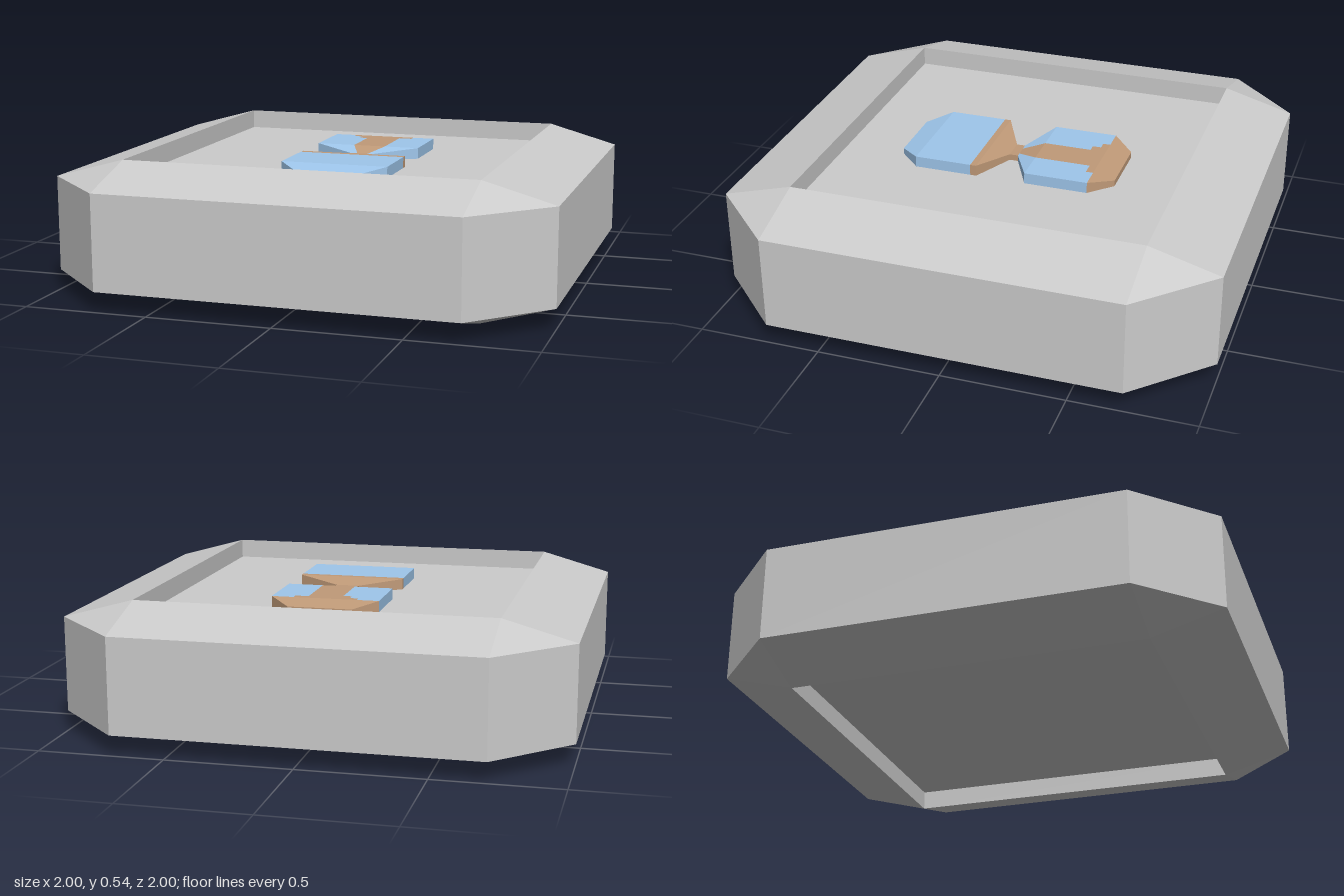
import * as THREE from 'three';

// Flat-shaded mesh from convex faces, corners counter-clockwise seen from outside
function faceMesh(name, faces, color) {
  const pos = [];
  for (const f of faces)
    for (let i = 1; i < f.length - 1; i++) pos.push(...f[0], ...f[i], ...f[i + 1]);
  const geo = new THREE.BufferGeometry();
  geo.setAttribute('position', new THREE.Float32BufferAttribute(pos, 3));
  geo.computeVertexNormals();
  const mesh = new THREE.Mesh(geo, new THREE.MeshStandardMaterial({ color, flatShading: true }));
  mesh.name = name;
  return mesh;
}

const TOP = 0.54, HIGH = 0.46, LOW = 0.08, A = 0.713;

// Chamfered slab with a square recess above and below
function createBody() {
  const faces = [];
  const turn = (f, n) => f.map(([x, y, z]) => {
    for (let i = 0; i < n; i++) [x, z] = [z, -x];
    return [x, y, z];
  });
  const flip = (f) => f.map(([x, y, z]) => [x, TOP - y, z]).reverse();
  const walls = [
    [[-A, LOW, 1], [A, LOW, 1], [A, HIGH, 1], [-A, HIGH, 1]],
    [[A, LOW, 1], [1, LOW, A], [1, HIGH, A], [A, HIGH, 1]],
  ];
  const rims = [
    [[-A, HIGH, 1], [A, HIGH, 1], [A, TOP, A], [-A, TOP, A]],   // slope
    [[A, HIGH, 1], [1, HIGH, A], [A, TOP, A]],                  // corner
    [[A, HIGH, A], [-A, HIGH, A], [-A, TOP, A], [A, TOP, A]],   // recess wall
  ];
  for (let n = 0; n < 4; n++) {
    for (const f of walls) faces.push(turn(f, n));
    for (const f of rims) faces.push(turn(f, n), flip(turn(f, n)));
  }
  const floor = [[-A, HIGH, A], [A, HIGH, A], [A, HIGH, -A], [-A, HIGH, -A]];
  faces.push(floor, flip(floor));
  return faceMesh('body', faces, 0xcccccc);
}

// Raised hourglass, built from rows of coloured strips running back to front
function createHourglass() {
  const L = -0.18, R = 0.26, MID = 0.505, END = 0.485;
  const S = 'sand', G = 'glass';
  // [z0, y0, x edges at z0, z1, y1, x edges at z1, strip colours]
  const rows = [
    [-0.445, END, [-0.09, 0.17], -0.355, MID, [L, R], [S]],
    [-0.355, MID, [L, -0.09, 0.17, R], -0.325, MID, [L, -0.09, 0.17, R], [G, S, G]],
    [-0.325, MID, [L, -0.055, 0.115, R], -0.29, MID, [L, -0.055, 0.115, R], [G, S, G]],
    [-0.29, MID, [L, -0.02, 0.115, R], -0.095, MID, [L, -0.02, 0.115, R], [G, S, G]],
    [-0.095, MID, [L, -0.02, 0.115, R], -0.01, END, [-0.01, 0.02, 0.065, 0.085], [G, S, G]],
    [-0.01, END, [-0.01, 0.085], 0.025, END, [-0.01, 0.085], [S]],
    [0.025, END, [-0.01, 0.085], 0.11, MID, [L, R], [S]],
    [0.11, MID, [L, R], 0.135, MID, [L, R], [S]],
    [0.135, MID, [L, R], 0.37, MID, [L, R], [G]],
    [0.37, MID, [L, R], 0.46, END, [-0.09, 0.17], [G]],
  ];
  const faces = { sand: [], glass: [] };
  rows.forEach(([z0, y0, a, z1, y1, b, colors], r) => {
    colors.forEach((c, i) => {
      const p = [b[i], y1, z1], q = [b[i + 1], y1, z1];
      const s = [a[i + 1], y0, z0], t = [a[i], y0, z0];
      const down = ([x, , z]) => [x, HIGH, z];
      const wall = (u, v) => faces[c].push([down(u), down(v), v, u]);
      faces[c].push([p, q, s, t]);
      if (i === 0) wall(t, p);
      if (i === colors.length - 1) wall(q, s);
      if (r === 0) wall(s, t);
      if (r === rows.length - 1) wall(p, q);
    });
  });
  const group = new THREE.Group();
  group.name = 'hourglass';
  group.add(
    faceMesh('hourglassSand', faces.sand, 0xc09a78),
    faceMesh('hourglassGlass', faces.glass, 0x9ec6eb),
  );
  return group;
}

export function createModel() {
  const model = new THREE.Group();
  model.name = 'hourglassTile';
  model.add(createBody(), createHourglass());
  return model;
}
